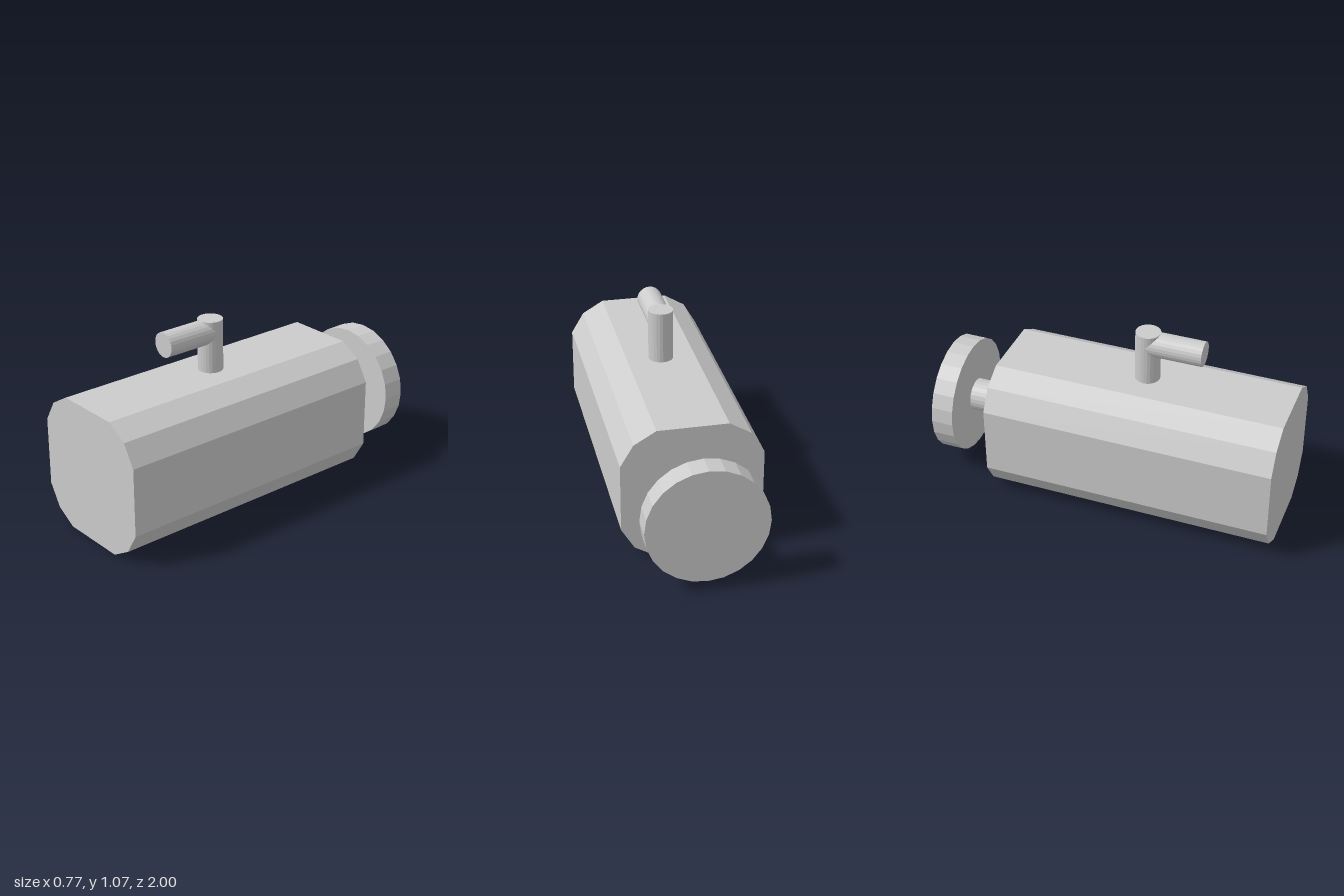
import * as THREE from 'three';

const material = new THREE.MeshStandardMaterial({ color: 0xcccccc, flatShading: true });

// Round bar along z between two depths
function barZ(name, radius, y, z0, z1) {
  const geometry = new THREE.CylinderGeometry(radius, radius, z1 - z0, 24);
  geometry.rotateX(Math.PI / 2);
  const mesh = new THREE.Mesh(geometry, material);
  mesh.name = name;
  mesh.position.set(0, y, (z0 + z1) / 2);
  return mesh;
}

export function createModel() {
  const group = new THREE.Group();
  group.name = 'latchBolt';
  const midY = 0.387;

  // Main block: square section with two-step chamfered corners
  const corner = [[0.387, 0.194], [0.315, 0.315], [0.194, 0.387]];
  const points = [];
  for (let i = 0; i < 4; i++) {
    const c = Math.round(Math.cos(i * Math.PI / 2));
    const s = Math.round(Math.sin(i * Math.PI / 2));
    for (const [x, y] of corner) points.push(new THREE.Vector2(x * c - y * s, x * s + y * c));
  }
  const bodyGeometry = new THREE.ExtrudeGeometry(new THREE.Shape(points), { depth: 1.642, bevelEnabled: false });
  const body = new THREE.Mesh(bodyGeometry, material);
  body.name = 'body';
  body.position.set(0, midY, -0.642);
  group.add(body);

  // Rear shaft and end disc
  group.add(barZ('rearShaft', 0.093, midY + 0.003, -0.875, -0.642));
  group.add(barZ('rearDisc', 0.332, midY + 0.003, -1, -0.873));

  // Bent handle: upright post with a forward grip
  const post = new THREE.Mesh(new THREE.CylinderGeometry(0.07, 0.07, 0.294, 24), material);
  post.name = 'handlePost';
  post.position.set(0, 0.921, 0.18);
  group.add(post);
  group.add(barZ('handleGrip', 0.07, 0.997, 0.175, 0.5));

  return group;
}
